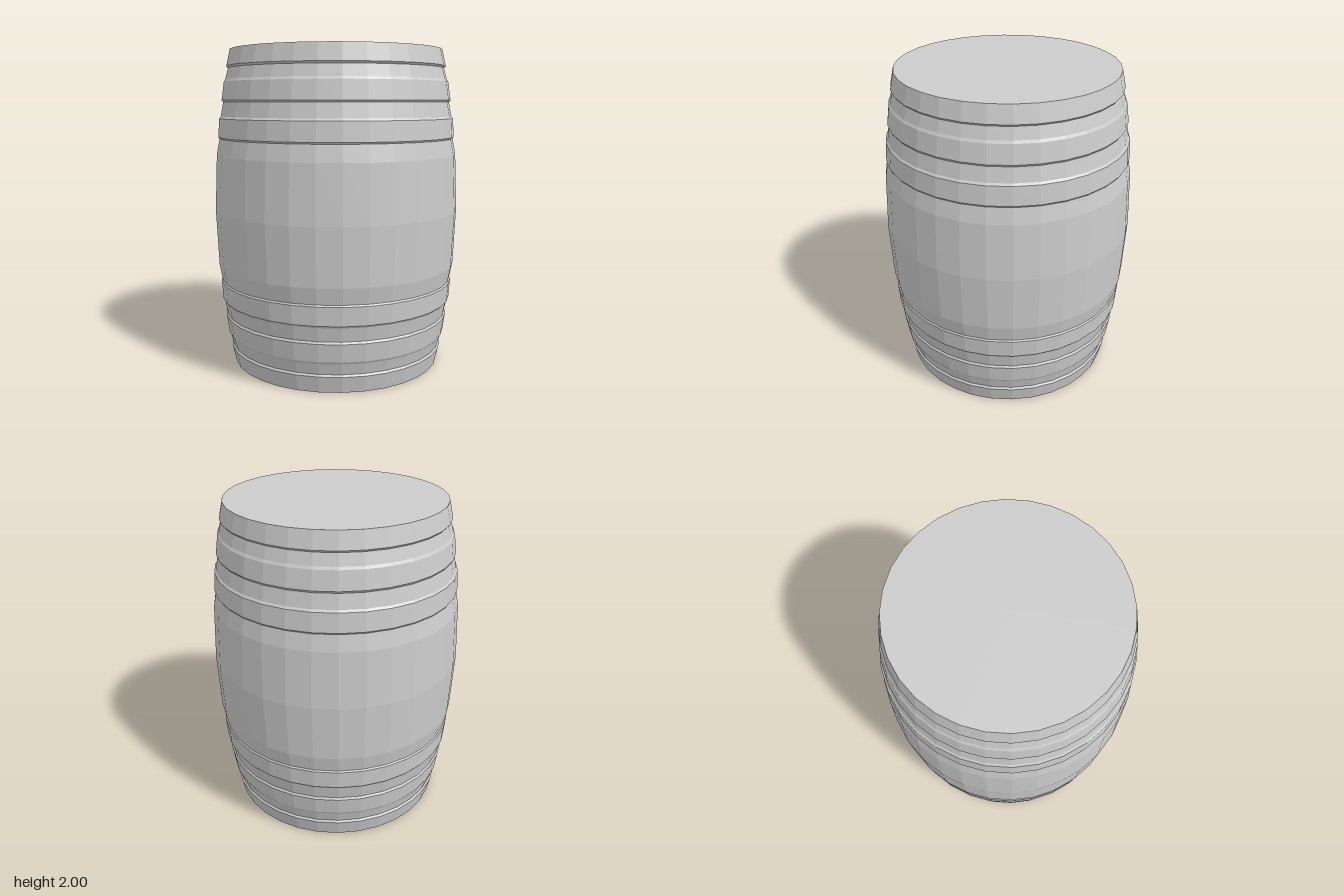
import * as THREE from 'three';
import { mergeVertices } from 'three/addons/utils/BufferGeometryUtils.js';

const SIDES = 32;

export function createModel() {
  const group = new THREE.Group();
  group.name = 'barrel';
  const material = new THREE.MeshStandardMaterial({ color: 0xcccccc, flatShading: true });

  // Upper half of the profile as [radius, height above the middle]:
  // bulging staves with two raised hoops and a raised rim
  const half = [
    [0.765, 0.35], [0.746, 0.45],
    [0.753, 0.46], [0.745, 0.575], // inner hoop
    [0.735, 0.588], [0.718, 0.675],
    [0.727, 0.688], [0.711, 0.8], // outer hoop
    [0.702, 0.815], [0.683, 0.885],
    [0.693, 0.897], [0.67, 1], // rim
  ];

  // Mirror about the middle and close both ends on the axis
  const profile = [
    [0, -1],
    ...half.map(([r, y]) => [r, -y]).reverse(),
    [0.78, 0],
    ...half,
    [0, 1],
  ].map(([r, y]) => new THREE.Vector2(r, y + 1));

  const geometry = new THREE.LatheGeometry(profile, SIDES);
  geometry.deleteAttribute('normal');
  geometry.deleteAttribute('uv');
  const welded = mergeVertices(geometry);
  welded.computeVertexNormals();

  const body = new THREE.Mesh(welded, material);
  body.name = 'barrelBody';
  group.add(body);
  return group;
}
